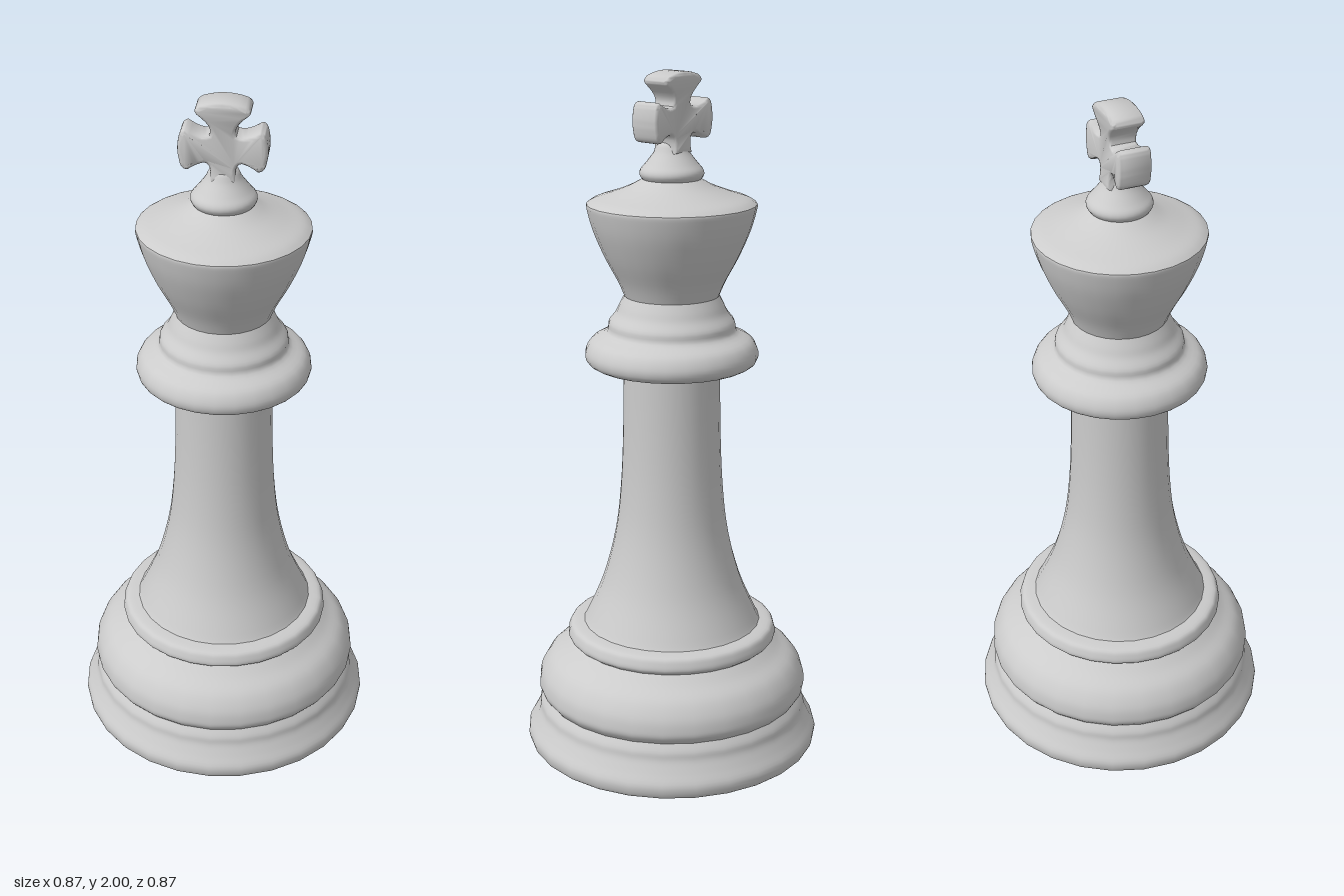
import * as THREE from 'three';
import { toCreasedNormals } from 'three/addons/utils/BufferGeometryUtils.js';

const SIDES = 28;
const material = new THREE.MeshStandardMaterial({ color: 0xcccccc });

function addPart(group, name, geometry) {
  const mesh = new THREE.Mesh(geometry, material);
  mesh.name = name;
  group.add(mesh);
  return mesh;
}

// Turned part: [radius, height] points from bottom to top; samples > 0 rounds the profile
function turned(group, name, points, samples = 0) {
  let profile = points.map(([r, y]) => new THREE.Vector2(r, y));
  if (samples) profile = new THREE.SplineCurve(profile).getPoints(samples);
  profile.forEach((p) => { p.x = Math.max(p.x, 0); });
  const lathe = new THREE.LatheGeometry(profile, SIDES);
  return addPart(group, name, samples ? lathe : toCreasedNormals(lathe, 0.9));
}

// Cross with four flared, rounded arms, thickest at the arm tips
function crossGeometry() {
  const s = new THREE.Shape();
  s.moveTo(-0.034, -0.09);
  s.lineTo(0.034, -0.09);
  s.quadraticCurveTo(0.028, -0.04, 0.05, -0.037);
  s.quadraticCurveTo(0.075, -0.042, 0.092, -0.056);
  s.quadraticCurveTo(0.112, -0.058, 0.116, -0.03);
  s.quadraticCurveTo(0.124, 0, 0.116, 0.035);
  s.quadraticCurveTo(0.112, 0.055, 0.098, 0.055);
  s.quadraticCurveTo(0.06, 0.03, 0.036, 0.04);
  s.quadraticCurveTo(0.024, 0.065, 0.068, 0.098);
  s.quadraticCurveTo(0.082, 0.11, 0.06, 0.123);
  s.quadraticCurveTo(0, 0.143, -0.06, 0.123);
  s.quadraticCurveTo(-0.082, 0.11, -0.068, 0.098);
  s.quadraticCurveTo(-0.024, 0.065, -0.036, 0.04);
  s.quadraticCurveTo(-0.06, 0.03, -0.098, 0.055);
  s.quadraticCurveTo(-0.112, 0.055, -0.116, 0.035);
  s.quadraticCurveTo(-0.124, 0, -0.116, -0.03);
  s.quadraticCurveTo(-0.112, -0.058, -0.092, -0.056);
  s.quadraticCurveTo(-0.075, -0.042, -0.05, -0.037);
  s.quadraticCurveTo(-0.028, -0.04, -0.034, -0.09);
  const g = new THREE.ExtrudeGeometry(s, {
    depth: 0.068, curveSegments: 6, bevelEnabled: true,
    bevelThickness: 0.012, bevelSize: 0.01, bevelOffset: -0.01, bevelSegments: 3,
  });
  g.translate(0, 0, -0.034);
  const p = g.attributes.position;
  for (let i = 0; i < p.count; i++) {
    const reach = Math.min(Math.hypot(p.getX(i), p.getY(i)) / 0.1, 1);
    p.setZ(i, p.getZ(i) * (0.68 + 0.32 * reach));
  }
  return toCreasedNormals(g, 1);
}

export function createModel() {
  const group = new THREE.Group();
  group.name = 'chessKing';

  // Flat underside and stepped foot
  turned(group, 'underside', [[0, 0.005], [0.41, 0.005]]);
  turned(group, 'foot', [[0.41, 0.005], [0.43, 0.012], [0.436, 0.045], [0.418, 0.08],
    [0.403, 0.11], [0.398, 0.135], [0.384, 0.158]], 24);
  turned(group, 'footBulge', [[0.384, 0.158], [0.398, 0.178], [0.4, 0.2], [0.392, 0.235],
    [0.366, 0.275], [0.325, 0.305], [0.296, 0.33]], 24);
  turned(group, 'footRing', [[0.296, 0.33], [0.31, 0.343], [0.308, 0.362], [0.297, 0.38],
    [0.262, 0.386]], 16);

  // Sweeping column
  turned(group, 'stem', [[0.266, 0.38], [0.25, 0.41], [0.203, 0.52], [0.167, 0.66],
    [0.15, 0.8], [0.142, 0.97], [0.139, 1.18]], 24);

  // Collar below the head
  turned(group, 'collarUnderside', [[0.13, 1.172], [0.225, 1.172]]);
  turned(group, 'collar', [[0.225, 1.172], [0.244, 1.185], [0.248, 1.212], [0.23, 1.245],
    [0.187, 1.27], [0.18, 1.298], [0.16, 1.325], [0.148, 1.35], [0.132, 1.38]], 32);

  // Flared head with a sloping top
  turned(group, 'head', [[0.132, 1.365], [0.153, 1.415], [0.19, 1.485], [0.222, 1.56],
    [0.239, 1.62], [0.24, 1.635]], 20);
  turned(group, 'headTop', [[0.24, 1.635], [0.218, 1.648], [0.172, 1.663], [0.12, 1.683],
    [0.08, 1.705]], 16);

  // Finial and cross
  turned(group, 'finial', [[0.08, 1.7], [0.09, 1.715], [0.088, 1.73], [0.073, 1.748],
    [0.05, 1.778], [0.035, 1.805], [0, 1.815]], 20);
  const cross = addPart(group, 'cross', crossGeometry());
  cross.position.set(0, 1.867, -0.004);
  return group;
}
